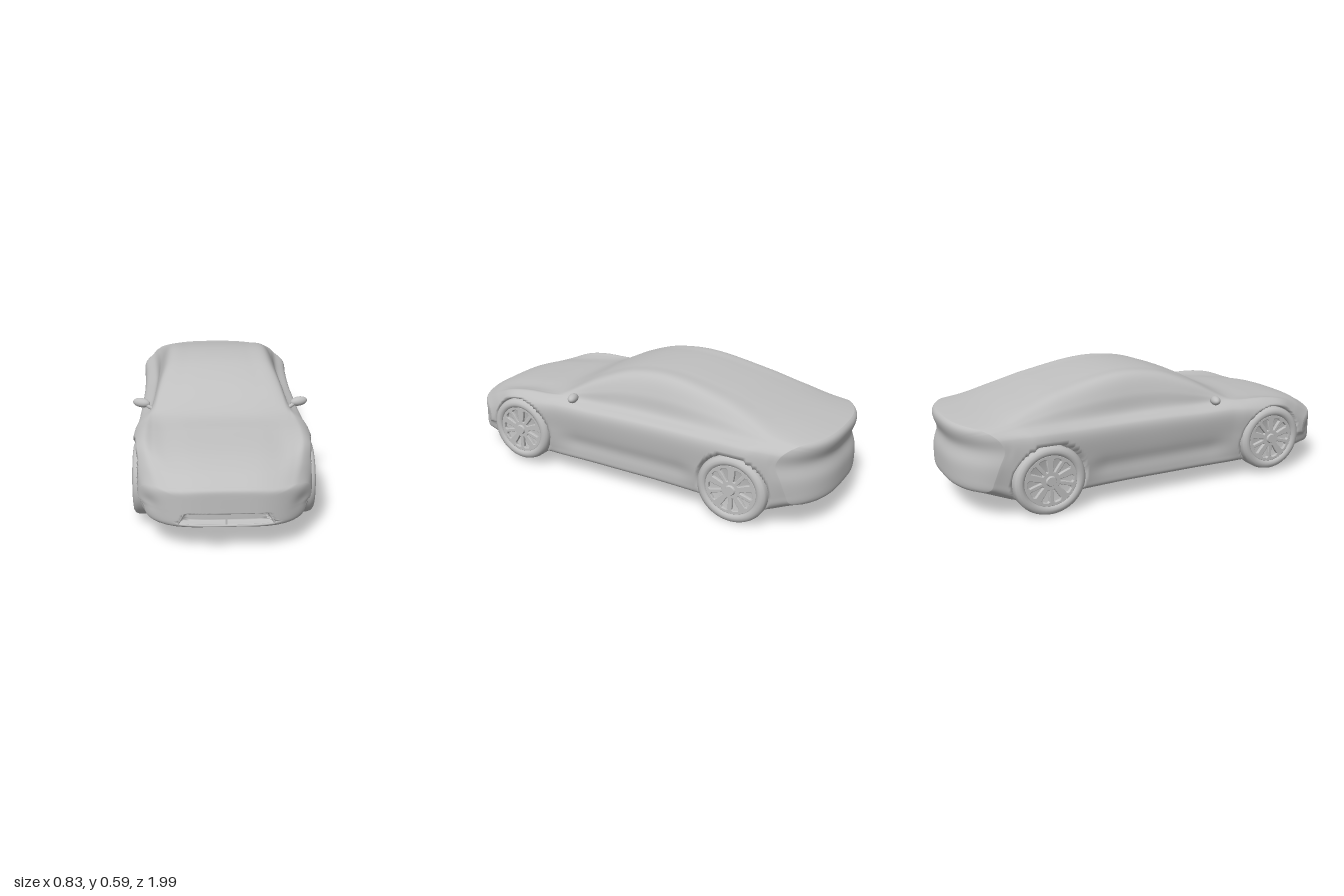
import * as THREE from 'three';

const paint = new THREE.MeshStandardMaterial({ color: 0xbfbfbf });
paint.name = 'silver grey';

// station, floor y, floor x, flank x, shoulder x, shoulder y, window base x, y, roof edge x, y, centre top y
const STATIONS = [
  [-1, .14, .34, .37, .37, .38, .345, .41, .31, .425, .435],
  [-.82, .085, .37, .395, .395, .385, .35, .42, .31, .447, .463],
  [-.65, .08, .37, .4, .4, .385, .35, .42, .28, .487, .505],
  [-.5, .08, .36, .388, .39, .38, .338, .42, .26, .528, .543],
  [-.2, .085, .355, .376, .378, .378, .32, .415, .245, .58, .592],
  [.02, .085, .355, .375, .378, .375, .32, .415, .25, .566, .583],
  [.2, .085, .355, .375, .38, .37, .325, .41, .28, .505, .53],
  [.38, .085, .36, .38, .385, .37, .335, .41, .3, .422, .443],
  [.46, .085, .36, .39, .395, .365, .345, .405, .28, .405, .415],
  [.6, .09, .37, .4, .4, .35, .35, .4, .26, .39, .4],
  [.8, .1, .37, .395, .395, .325, .345, .37, .25, .36, .372],
  [.92, .115, .36, .385, .38, .29, .33, .325, .22, .327, .337],
  [1, .12, .33, .365, .35, .25, .3, .275, .2, .285, .295],
];
const WHEELS = [{ z: .61, y: .192, end: 'front' }, { z: -.597, y: .168, end: 'rear' }];
const smooth = THREE.MathUtils.smoothstep;
const bell = (v, c, w) => Math.exp(-(((v - c) / w) ** 2));

// Smooth interpolation of all station values
function stationAt(s) {
  const n = STATIONS.length;
  let i = 0;
  while (i < n - 2 && s > STATIONS[i + 1][0]) i++;
  const a = STATIONS[i], b = STATIONS[i + 1], h = b[0] - a[0], t = (s - a[0]) / h;
  const slope = (j, c) => {
    const p = STATIONS[Math.max(j - 1, 0)], q = STATIONS[Math.min(j + 1, n - 1)];
    return (q[c] - p[c]) / (q[0] - p[0]);
  };
  return a.map((v, c) => v * (2 * t ** 3 - 3 * t * t + 1) + b[c] * (3 * t * t - 2 * t ** 3)
    + h * slope(i, c) * (t ** 3 - 2 * t * t + t) + h * slope(i + 1, c) * (t ** 3 - t * t));
}

// Closed cross-section, running from the floor up the left side and down the right
function section(s) {
  const [, yb, xb, xm, xs, ys, xg, yg, xr, yr, yt] = stationAt(s);
  const half = [
    [xb - .03, yb], [xb, yb + .015], [xb + .4 * (xm - xb), yb + .05],
    [xm, yb + .55 * (ys - yb)], [xs, ys], [xg, yg],
    [xr + .55 * (xg - xr) + .15 * (yr - yg) * .4, yg + .5 * (yr - yg)],
    [xr, yr], [xr * .6, yr + .75 * (yt - yr)],
  ];
  const pts = [[0, yb], ...half, [0, yt], ...half.map(([x, y]) => [-x, y]).reverse()];
  const curve = new THREE.CatmullRomCurve3(pts.map(([x, y]) => new THREE.Vector3(x, y, 0)), true);
  return { ring: curve.getPoints(pts.length * 8).slice(0, -1), mid: (yb + yt) / 2 };
}

// How far the rounded plan of nose and tail pulls a point back
const planCurve = (x, front) => front
  ? .17 * (Math.abs(x) / .38) ** 3.5 : .16 * (Math.abs(x) / .38) ** 2.8;

function sculpt(x, y, s, bulge) {
  const front = s > 0, w = smooth(Math.abs(s), .6, 1);
  let z = Math.sign(s) * (Math.abs(s) * .977 - w * planCurve(x, front) + bulge);
  let ax = Math.abs(x);
  // grille recess and tail hollow
  if (front && bulge > 0) {
    const edge = .2 - (y - .13) * .5;
    z -= .035 * (1 - smooth(ax, edge - .015, edge)) * smooth(y, .133, .143) * (1 - smooth(y, .174, .184));
    z -= .012 * bell(ax, .32, .035) * bell(y, .2, .03);
  }
  if (!front) z += .022 * bell(y, .33, .05) * smooth(-s, .93, 1);
  // door hollow
  if (ax > .3) ax -= .012 * bell(y, .19, .045) * smooth(z, -.45, -.3) * (1 - smooth(z, .25, .42));
  // wheel wells
  for (const k of WHEELS) {
    const d = Math.hypot((z - k.z) / .178, (y - k.y) / .169);
    if (ax > .345) ax += (.345 - ax) * (1 - smooth(d, .94, 1.02));
  }
  return [Math.sign(x) * ax, y, z];
}

function bodyGeometry() {
  const rings = [], N = 180, C = 36;
  const add = (sec, s, k, bulge) => rings.push(sec.ring.map(p =>
    sculpt(p.x * k, sec.mid + (p.y - sec.mid) * k, s, bulge)));
  const cap = (s, i) => {
    const k = Math.max(1 - (i / C) ** 1.6, .0005);
    add(section(s), s, k, .019 * (1 - k ** 12));
  };
  for (let i = C; i > 0; i--) cap(-1, i);
  for (let i = 0; i <= N; i++) {
    const s = -1 + 2 * i / N;
    add(section(s), s, 1, 0);
  }
  for (let i = 1; i <= C; i++) cap(1, i);
  const M = rings[0].length, index = [];
  for (let j = 0; j < rings.length - 1; j++) {
    for (let i = 0; i < M; i++) {
      const a = j * M + i, b = j * M + (i + 1) % M;
      index.push(a, b, a + M, b, b + M, a + M);
    }
  }
  const g = new THREE.BufferGeometry();
  g.setAttribute('position', new THREE.Float32BufferAttribute(rings.flat(2), 3));
  g.setIndex(index);
  g.computeVertexNormals();
  return g;
}

function mesh(geometry, name, parent) {
  const m = new THREE.Mesh(geometry, paint);
  m.name = name;
  parent.add(m);
  return m;
}

// Wheel with its outer face at x = 0, facing +x
function makeWheel(name) {
  const wheel = new THREE.Group();
  wheel.name = name;
  const profile = [[0, -.105], [.15, -.105], [.16, -.095], [.163, -.08], [.163, -.025], [.158, -.01],
    [.147, -.002], [.135, 0], [.124, -.004], [.119, -.012], [.117, -.042], [0, -.042]];
  const tyre = mesh(new THREE.LatheGeometry(profile.map(p => new THREE.Vector2(...p)), 56), 'tyre', wheel);
  tyre.rotation.z = -Math.PI / 2;

  const disc = new THREE.Shape().absarc(0, 0, .119, 0, Math.PI * 2);
  for (let i = 0; i < 10; i++) {
    const a = i * Math.PI / 5 + (i % 2 ? .04 : -.04);
    const at = (r, o) => new THREE.Vector2(r * Math.cos(a) - o * Math.sin(a), r * Math.sin(a) + o * Math.cos(a));
    const outline = [at(.042, -.005), at(.075, -.013), at(.097, -.02), at(.106, -.012),
      at(.106, .012), at(.097, .02), at(.075, .013), at(.042, .005)];
    disc.holes.push(new THREE.Path(outline));
  }
  const spokes = mesh(new THREE.ExtrudeGeometry(disc, {
    depth: .01, bevelThickness: .004, bevelSize: .003, bevelOffset: -.001, bevelSegments: 2, curveSegments: 40,
  }), 'spokes', wheel);
  spokes.rotation.y = Math.PI / 2;
  spokes.position.x = -.024;

  const hub = mesh(new THREE.CylinderGeometry(.02, .026, .01, 28), 'hubCap', wheel);
  hub.rotation.z = -Math.PI / 2;
  hub.position.x = -.007;
  return wheel;
}

export function createModel() {
  const car = new THREE.Group();
  car.name = 'car';
  mesh(bodyGeometry(), 'body', car);

  // grille surround and divider
  const corners = [[-.2, .131], [-.172, .186], [0, .188], [.172, .186], [.2, .131], [0, .131]];
  const frame = new THREE.CurvePath();
  corners.forEach(([x, y], i) => {
    const [x2, y2] = corners[(i + 1) % corners.length];
    const p = [0, 1, 2, 3, 4].map(t => {
      const x3 = x + (x2 - x) * t / 4;
      return new THREE.Vector3(x3, y + (y2 - y) * t / 4, .991 - planCurve(x3, true));
    });
    frame.add(new THREE.CatmullRomCurve3(p));
  });
  mesh(new THREE.TubeGeometry(frame, 120, .005, 8, true), 'grilleFrame', car);
  mesh(new THREE.BoxGeometry(.008, .056, .03), 'grilleDivider', car).position.set(0, .158, .975);

  for (const side of [1, -1]) {
    const label = side > 0 ? 'Left' : 'Right';
    // wheels
    for (const w of WHEELS) {
      const wheel = makeWheel(w.end + label + 'Wheel');
      wheel.position.set(side * .396, w.y, w.z);
      if (side < 0) wheel.rotation.y = Math.PI;
      wheel.scale.z = 1.06;
      car.add(wheel);
    }
    // door mirrors
    const shell = mesh(new THREE.SphereGeometry(1, 28, 18), 'mirror' + label, car);
    shell.scale.set(.043, .022, .024);
    shell.position.set(side * .376, .431, .272);
    shell.rotation.set(0, side * .35, side * .06);
    const stalk = new THREE.CatmullRomCurve3([
      new THREE.Vector3(side * .315, .405, .3),
      new THREE.Vector3(side * .335, .415, .295),
      new THREE.Vector3(side * .36, .427, .28),
    ]);
    mesh(new THREE.TubeGeometry(stalk, 10, .009, 10), 'mirrorStalk' + label, car);
  }
  return car;
}
